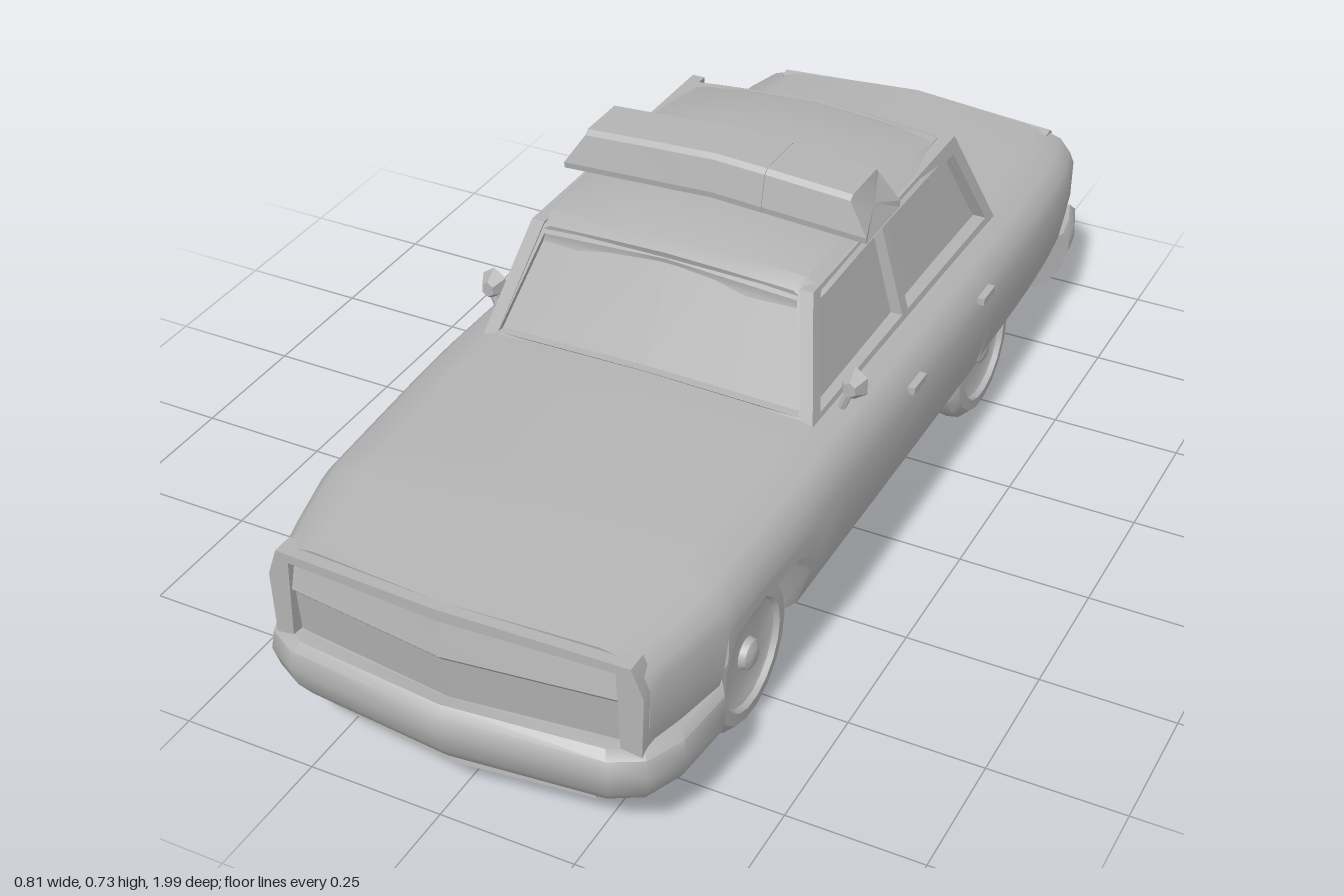
import * as THREE from 'three';
import { toCreasedNormals } from 'three/addons/utils/BufferGeometryUtils.js';

const grey = new THREE.MeshStandardMaterial({ color: 0xb3b3b3 });
grey.name = 'plain grey';

// Piecewise-linear lookup in a table of [key, value], keys ascending
function lookup(table, k) {
  if (k <= table[0][0]) return table[0][1];
  for (let i = 1; i < table.length; i++) {
    const [a, va] = table[i - 1], [b, vb] = table[i];
    if (k <= b) return va + (vb - va) * (k - a) / (b - a);
  }
  return table[table.length - 1][1];
}

// Make faces point outwards and crease the normals
function finish(source, crease = 0.6) {
  const geo = source.index ? source.toNonIndexed() : source.clone();
  const p = geo.attributes.position;
  const a = new THREE.Vector3(), b = new THREE.Vector3(), c = new THREE.Vector3();
  let volume = 0;
  for (let i = 0; i < p.count; i += 3) {
    a.fromBufferAttribute(p, i); b.fromBufferAttribute(p, i + 1); c.fromBufferAttribute(p, i + 2);
    volume += a.dot(b.cross(c));
  }
  if (volume < 0) {
    for (let i = 0; i < p.count; i += 3) {
      b.fromBufferAttribute(p, i + 1); c.fromBufferAttribute(p, i + 2);
      p.setXYZ(i + 1, c.x, c.y, c.z); p.setXYZ(i + 2, b.x, b.y, b.z);
    }
  }
  geo.computeVertexNormals();
  return toCreasedNormals(geo, crease);
}

// Closed solid through rings of equal point count
function loft(rings) {
  const n = rings[0].length, pos = [], idx = [];
  rings.forEach(r => r.forEach(v => pos.push(...v)));
  for (let i = 0; i < rings.length - 1; i++) {
    for (let j = 0; j < n; j++) {
      const a = i * n + j, b = i * n + (j + 1) % n;
      idx.push(a, b, a + n, b, b + n, a + n);
    }
  }
  [0, rings.length - 1].forEach((ri, end) => {
    const mid = [0, 1, 2].map(k => rings[ri].reduce((s, v) => s + v[k], 0) / n);
    const m = pos.length / 3;
    pos.push(...mid);
    for (let j = 0; j < n; j++) {
      const a = ri * n + j, b = ri * n + (j + 1) % n;
      idx.push(...(end ? [m, a, b] : [m, b, a]));
    }
  });
  const geo = new THREE.BufferGeometry();
  geo.setAttribute('position', new THREE.Float32BufferAttribute(pos, 3));
  geo.setIndex(idx);
  return geo;
}

// Half outline from bottom centre to top centre, completed by mirroring
const mirrorRing = half => [...half, ...half.slice(1, -1).reverse().map(([x, y, z]) => [-x, y, z])];

// Plate with holes, its points then moved by a rule
function plate(outline, holes, depth, rule) {
  const toVec = list => list.map(([x, y]) => new THREE.Vector2(x, y));
  const shape = new THREE.Shape(toVec(outline));
  holes.forEach(h => shape.holes.push(new THREE.Path(toVec(h))));
  const geo = new THREE.ExtrudeGeometry(shape, { depth, bevelEnabled: false });
  const p = geo.attributes.position;
  for (let i = 0; i < p.count; i++) p.setXYZ(i, ...rule(p.getX(i), p.getY(i), p.getZ(i)));
  return geo;
}

const WIDTH = [[-0.94, 0.355], [-0.85, 0.375], [-0.7, 0.39], [-0.3, 0.4], [0.4, 0.4], [0.72, 0.39], [0.86, 0.365], [0.95, 0.345]];
const RISE = [[-0.94, -0.015], [-0.5, 0], [0.3, 0.012], [0.7, 0], [0.95, -0.02]];
const SIDE = [[0.08, 0.74], [0.1, 0.8], [0.13, 0.875], [0.2, 0.965], [0.27, 1], [0.34, 1]];
const ARCH = [[-0.64, 0], [-0.615, 0.15], [-0.58, 0.2], [-0.4, 0.205], [-0.36, 0.19], [-0.33, 0],
  [0.4, 0], [0.44, 0.25], [0.48, 0.305], [0.62, 0.315], [0.7, 0.305], [0.735, 0.26], [0.745, 0]];

function bodySection(z) {
  const w = lookup(WIDTH, z), d = lookup(RISE, z), low = Math.max(0.088, lookup(ARCH, z));
  const half = [[0, 0.08], [0.25, 0.08], [0.25, low], [w * lookup(SIDE, low), low]];
  for (const t of [0.2, 0.45, 0.7, 1]) {
    const y = low + (0.34 - low) * t;
    half.push([w * lookup(SIDE, y), y]);
  }
  half.push([w * 0.975, 0.375 + d], [w * 0.91, 0.402 + d], [w * 0.76, 0.416 + d], [0, 0.432 + d]);
  const bow = Math.max(0, (Math.abs(z) - 0.7) / 0.25) * (z > 0 ? -0.12 : 0.035);
  return mirrorRing(half.map(([x, y]) => [x, y, z + bow * x]));
}

export function createModel() {
  const model = new THREE.Group();
  const add = (name, geo, crease) => {
    const mesh = new THREE.Mesh(finish(geo, crease), grey);
    mesh.name = name;
    model.add(mesh);
  };
  const addPair = (name, geo, crease) => {
    add(name + 'Left', geo, crease);
    add(name + 'Right', geo.clone().scale(-1, 1, 1), crease);
  };

  // Lower body with wheel arches
  const stations = [-0.935, -0.9, -0.85, -0.75, ...ARCH.map(a => a[0]), -0.1, 0.15, 0.3, 0.8, 0.86, 0.92, 0.955];
  add('body', loft(stations.sort((a, b) => a - b).map(bodySection)), 0.7);

  // Nose surround and folded grille
  const noseZ = (x, y, d) => [x, y, 0.935 + d - 0.12 * Math.abs(x)];
  add('noseSurround', plate(
    [[-0.34, 0.2], [0, 0.2], [0.34, 0.2], [0.345, 0.33], [0.325, 0.385], [0, 0.412], [-0.325, 0.385], [-0.345, 0.33]],
    [[[-0.305, 0.215], [0, 0.215], [0.305, 0.215], [0.3, 0.37], [0, 0.39], [-0.3, 0.37]]], 0.04, noseZ));
  const grille = [[0.21, 0.95], [0.3, 0.96], [0.312, 0.97], [0.39, 0.955], [0.39, 0.93], [0.21, 0.93]];
  add('grille', loft([-0.31, 0, 0.31].map(x => grille.map(([y, z]) => [x, y - 0.05 * Math.abs(x) * (y > 0.38), z - 0.12 * Math.abs(x)]))), 0.2);

  // Bumpers: a rounded profile swept around each end
  const bumper = (path, profile, s) => loft([...path, ...path.slice(0, -1).reverse().map(([x, z]) => [-x, z])]
    .map(([x, z]) => profile.map(([o, y]) => [x * (1 + 2 * o), y, z + s * o])));
  add('frontBumper', bumper([[0.385, 0.74], [0.375, 0.86], [0.345, 0.93], [0.29, 0.96], [0, 0.988]],
    [[-0.06, 0.21], [-0.01, 0.22], [0.005, 0.208], [0.01, 0.175], [0, 0.135], [-0.02, 0.105], [-0.04, 0.092], [-0.08, 0.095]], 1), 0.8);
  add('rearBumper', bumper([[0.375, -0.87], [0.365, -0.93], [0.345, -0.99], [0.28, -0.958], [0, -0.968]],
    [[-0.06, 0.195], [-0.01, 0.205], [0.002, 0.19], [0.004, 0.16], [-0.012, 0.12], [-0.035, 0.095], [-0.07, 0.095]], -1), 0.7);
  add('rearPlate', new THREE.BoxGeometry(0.15, 0.08, 0.01).translate(0, 0.15, -0.972));

  // Glass core of the cabin
  const glassRing = (y, w, f, r) => [[w, y, f - 0.02], [0, y, f], [-w, y, f - 0.02], [-w * 0.97, y, r + 0.015], [0, y, r], [w * 0.97, y, r + 0.015]];
  add('cabinGlass', loft([glassRing(0.4, 0.312, 0.3, -0.535), glassRing(0.62, 0.258, 0.185, -0.43)]), 0.2);

  // Window frames
  const sideX = (u, y, d) => [0.328 - 0.053 * (y - 0.41) / 0.21 - d, y, u];
  addPair('sideWindowFrame', plate([[0.295, 0.405], [0.185, 0.622], [-0.44, 0.618], [-0.54, 0.4]], [
    [[0.25, 0.432], [0.165, 0.603], [-0.095, 0.603], [-0.1, 0.428]],
    [[-0.125, 0.428], [-0.12, 0.603], [-0.42, 0.59], [-0.5, 0.422]],
  ], 0.025, sideX), 0.4);
  const outline = [[-0.328, 0.405], [0, 0.425], [0.328, 0.405], [0.275, 0.615], [0, 0.638], [-0.275, 0.615]];
  const opening = [[-0.297, 0.432], [0, 0.446], [0.297, 0.432], [0.247, 0.602], [0, 0.62], [-0.247, 0.602]];
  add('windscreenFrame', plate(outline, [opening], 0.025,
    (x, y, d) => [x, y, 0.312 - 0.115 * (y - 0.41) / 0.21 - 0.065 * Math.abs(x) - d]), 0.4);
  add('rearWindowFrame', plate(outline, [opening], 0.025,
    (x, y, d) => [x * 0.97, y - 0.008, -0.552 + 0.105 * (y - 0.41) / 0.21 + 0.05 * Math.abs(x) + d]), 0.4);

  // Roof
  add('roof', loft([[0.2, -0.016, 0.95], [0.17, -0.002, 1], [0, 0, 1], [-0.28, -0.003, 1], [-0.41, -0.015, 0.98], [-0.455, -0.03, 0.94]]
    .map(([z, d, w]) => mirrorRing([[0, 0.6 + d], [0.27, 0.6 + d], [0.284, 0.61 + d], [0.25, 0.634 + d], [0.12, 0.643 + d], [0, 0.65 + d]]
      .map(([x, y]) => [x * w, y, z - 0.05 * x * (z > 0 ? 1 : -0.6)])))), 0.6);

  // Roof sign, with a slightly raised centre band
  const signRing = (xb, xt, yb, yt, g) => [[xb, yb, 0.022 + g], [xb, yb + 0.012, 0.024 + g], [xt, yt - 0.008, 0.01 + g],
    [xt, yt, 0 + g], [xt, yt, -0.1 - g], [xt, yt - 0.008, -0.108 - g], [xb, yb + 0.012, -0.124 - g], [xb, yb, -0.122 - g]];
  add('roofSign', loft([signRing(-0.3, -0.262, 0.637, 0.715, 0), signRing(-0.1, -0.1, 0.647, 0.725, 0), signRing(0, 0, 0.652, 0.73, 0),
    signRing(0.1, 0.1, 0.647, 0.725, 0), signRing(0.3, 0.262, 0.637, 0.715, 0)]), 0.4);
  add('signCentreBand', loft([signRing(-0.098, -0.098, 0.648, 0.726, 0.002), signRing(0, 0, 0.653, 0.731, 0.002),
    signRing(0.098, 0.098, 0.648, 0.726, 0.002)]), 0.4);
  addPair('signMount', new THREE.BoxGeometry(0.02, 0.03, 0.08).translate(0.12, 0.645, -0.05));

  // Wheels: tyre, sunken rim and hub in one turned profile
  const profile = [[0, -0.04], [0.122, -0.045], [0.142, -0.027], [0.146, 0], [0.142, 0.024], [0.125, 0.042], [0.103, 0.044],
    [0.098, 0.034], [0.09, 0.03], [0.03, 0.03], [0.027, 0.042], [0.016, 0.048], [0, 0.049]];
  const wheel = new THREE.LatheGeometry(profile.map(p => new THREE.Vector2(...p)), 18).rotateZ(-Math.PI / 2);
  addPair('frontWheel', wheel.clone().translate(0.31, 0.148, 0.57));
  addPair('rearWheel', wheel.clone().translate(0.31, 0.146, -0.465));

  // Door mirrors
  const rod = (a, b, r, sides = 6) => new THREE.TubeGeometry(new THREE.LineCurve3(new THREE.Vector3(...a), new THREE.Vector3(...b)), 1, r, sides);
  const head = new THREE.CylinderGeometry(0.03, 0.014, 0.026, 6).rotateX(-Math.PI / 2).scale(0.9, 1.1, 1);
  addPair('mirrorHead', head.translate(0.358, 0.465, 0.2), 0.2);
  addPair('mirrorStem', rod([0.335, 0.405, 0.2], [0.352, 0.448, 0.2], 0.008));

  // Door handles and tail lamps
  for (const z of [0.005, -0.325]) {
    addPair('doorHandle', new THREE.BoxGeometry(0.014, 0.014, 0.055).translate(0.4, 0.366, z));
  }
  addPair('tailLamp', new THREE.CylinderGeometry(0.018, 0.025, 0.02, 10).rotateX(-Math.PI / 2).translate(0.305, 0.31, -0.93));
  add('bootLidLip', loft([-0.3, 0, 0.3].map(x => {
    const y = 0.412 - 0.05 * Math.abs(x), z = -0.935 + 0.035 * Math.abs(x);
    return [[x, y, z + 0.02], [x, y + 0.004, z], [x, y - 0.006, z - 0.012], [x, y - 0.016, z]];
  })));

  // Twin exhausts with silencers
  const run = [[0.035, 0.072, 0.42], [0.035, 0.07, -0.2], [0.14, 0.068, -0.36], [0.14, 0.062, -0.6], [0.14, 0.066, -0.95]];
  for (let i = 1; i < run.length; i++) addPair('exhaustPipe', rod(run[i - 1], run[i], 0.011, 8));
  for (const end of [0.42, -0.95]) {
    addPair('pipeEnd', new THREE.CylinderGeometry(0.012, 0.012, 0.01, 8).rotateX(Math.PI / 2)
      .translate(end > 0 ? 0.035 : 0.14, end > 0 ? 0.072 : 0.066, end));
  }
  addPair('silencer', new THREE.CylinderGeometry(0.05, 0.05, 0.15, 8).rotateX(Math.PI / 2).scale(1.05, 0.44, 1)
    .translate(0.143, 0.055, -0.62));

  return model;
}
